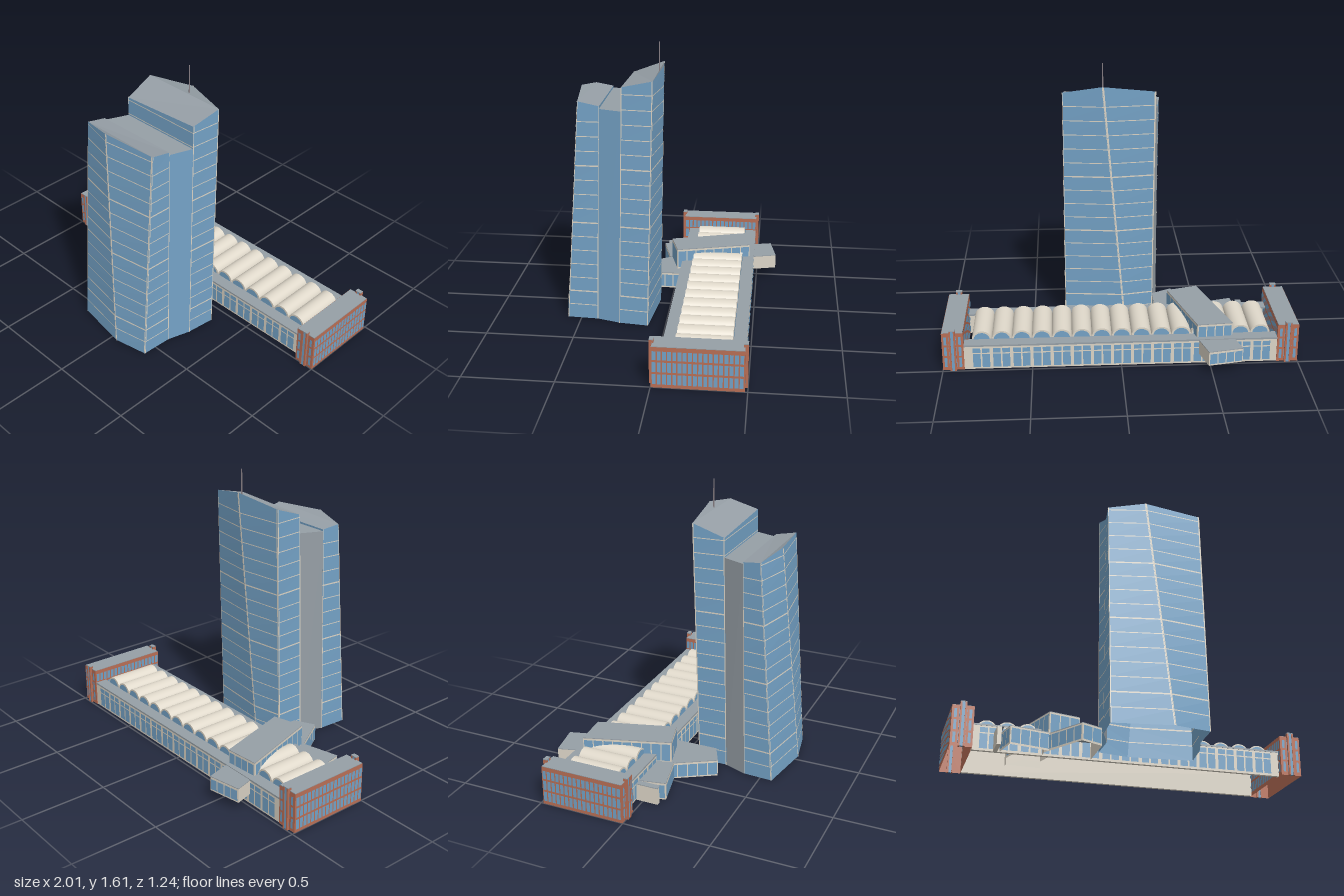
import * as THREE from 'three';

const mat = (name, color, side = THREE.FrontSide) => Object.assign(new THREE.MeshStandardMaterial({ color, side }), { name });

// Flat-shaded geometry from a list of polygons, each fanned from its first corner
function facets(list) {
  const pos = [];
  for (const f of list) {
    for (let i = 1; i < f.length - 1; i++) pos.push(...f[0], ...f[i], ...f[i + 1]);
  }
  const g = new THREE.BufferGeometry();
  g.setAttribute('position', new THREE.Float32BufferAttribute(pos, 3));
  g.computeVertexNormals();
  return g;
}

// Upright walls around an x,z outline, open above and below
const walls = (pts, y0, y1) => facets(pts.map(([x, z], i) => {
  const [u, w] = pts[(i + 1) % pts.length];
  return [[x, y0, z], [u, y0, w], [u, y1, w], [x, y1, z]];
}));

// Thin plate over an x,z outline
function plate(pts, y0, y1) {
  const shape = new THREE.Shape(pts.map(([x, z]) => new THREE.Vector2(x, -z)));
  const g = new THREE.ExtrudeGeometry(shape, { depth: y1 - y0, bevelEnabled: false });
  return g.rotateX(-Math.PI / 2).translate(0, y0, 0);
}

// Grid of panes standing just in front of the wall from p to q (left to right seen from outside)
function panes(list, p, q, rows, n, gap) {
  const dx = q[0] - p[0], dz = q[1] - p[1], len = Math.hypot(dx, dz);
  const at = (s, y) => [p[0] + (dx * s - dz * 0.003) / len, y, p[1] + (dz * s + dx * 0.003) / len];
  const step = (len - gap) / n;
  for (const [y0, y1] of rows) {
    for (let i = 0; i < n; i++) {
      const a = gap + i * step, b = a + step - gap;
      list.push([at(a, y0), at(b, y0), at(b, y1), at(a, y1)]);
    }
  }
}

export function createModel() {
  const root = new THREE.Group();
  root.name = 'towerAndHall';
  const glass = mat('blueGlass', 0x74a2c6, THREE.DoubleSide);
  const windowGlass = glass.clone();
  windowGlass.name = 'windowGlass';
  windowGlass.side = THREE.FrontSide;
  const cream = mat('creamFrame', 0xdcd5c7, THREE.DoubleSide);
  const vaultMat = mat('vaultConcrete', 0xdfd8ca, THREE.DoubleSide);
  const roofMat = mat('greyRoof', 0x969fa6, THREE.DoubleSide);
  const brick = mat('redBrick', 0xb96f56, THREE.DoubleSide);
  const steel = mat('steel', 0x8c8388);

  const add = (parent, name, geo, material) => {
    const m = new THREE.Mesh(geo, material);
    m.name = name;
    parent.add(m);
    return m;
  };
  const box = (parent, name, material, x0, x1, y0, y1, z0, z1) =>
    add(parent, name, new THREE.BoxGeometry(x1 - x0, y1 - y0, z1 - z0)
      .translate((x0 + x1) / 2, (y0 + y1) / 2, (z0 + z1) / 2), material);
  const group = (name) => {
    const g = new THREE.Group();
    g.name = name;
    root.add(g);
    return g;
  };

  // ---- Tower: leaning slabs, each corner is [base x, base z, top x, top z, top y]
  const tower = group('tower');
  const linkTop = 1.265;
  const front = [[-0.28, 0.57, -0.28, 0.475, 1.29], [0.04, 0.62, -0.08, 0.525, 1.32], [0.24, 0.58, 0.245, 0.49, 1.305],
    [0.25, 0.40, 0.245, 0.37, 1.28], [-0.27, 0.40, -0.265, 0.37, 1.275]];
  const rear = [[0.31, 0.10, 0.305, 0.065, 1.44], [-0.05, 0.065, 0.08, 0.03, 1.478], [-0.22, 0.10, -0.225, 0.06, 1.44],
    [-0.22, 0.27, -0.21, 0.24, 1.375], [0.29, 0.27, 0.29, 0.24, 1.40]];
  const onEdge = (c, y) => {
    const t = y / c[4];
    return [c[0] + (c[2] - c[0]) * t, y, c[1] + (c[3] - c[1]) * t];
  };

  // The wall numbered inner faces the link and only rises above it
  function slab(name, ring, inner) {
    const panels = [], lines = [];
    ring.forEach((a, i) => {
      const b = ring[(i + 1) % ring.length];
      const band = (list, y0, y1) => list.push([onEdge(a, y0), onEdge(b, y0), onEdge(b, y1 ?? b[4]), onEdge(a, y1 ?? a[4])]);
      // storeys of glass separated by thin floor lines
      let y = i === inner ? linkTop : 0;
      for (let k = Math.floor(y / 0.085) + 1; k * 0.085 < Math.min(a[4], b[4]) - 0.01; k++) {
        const h = [2, 7, 11].includes(k) ? 0.004 : 0.0025;
        band(panels, y, k * 0.085 - h);
        band(lines, k * 0.085 - h, k * 0.085 + h);
        y = k * 0.085 + h;
      }
      band(panels, y);
      if (i === inner) return;
      // corner trims
      const p0 = new THREE.Vector3(...onEdge(a, 0)), q0 = new THREE.Vector3(...onEdge(b, 0));
      const p1 = new THREE.Vector3(...onEdge(a, a[4])), q1 = new THREE.Vector3(...onEdge(b, b[4]));
      const out = new THREE.Vector3().subVectors(q0, p0).cross(new THREE.Vector3(0, 1, 0)).setLength(0.002);
      const u = 0.005 / p0.distanceTo(q0);
      const at = (p, q, s) => p.clone().lerp(q, s).add(out).toArray();
      for (const [s, t] of [[0, u], [1 - u, 1]]) {
        lines.push([at(p0, q0, s), at(p0, q0, t), at(p1, q1, t), at(p1, q1, s)]);
      }
    });
    add(tower, name + 'Glass', facets(panels), glass);
    add(tower, name + 'FloorLines', facets(lines), cream);
    add(tower, name + 'Roof', facets([ring.map((c) => onEdge(c, c[4]))]), roofMat);
  }
  slab('frontSlab', front, 3);
  slab('rearSlab', rear, 3);

  // Recessed link between the slabs
  const link = [front[4], front[3], rear[4], rear[3]].map((c) => [...c.slice(0, 4), linkTop]);
  const linkWall = (i, j) => facets([[onEdge(link[i], 0), onEdge(link[j], 0), onEdge(link[j], linkTop), onEdge(link[i], linkTop)]]);
  add(tower, 'linkGlass', linkWall(1, 2), glass);
  add(tower, 'linkWall', linkWall(3, 0), roofMat);
  add(tower, 'linkRoof', facets([link.map((c) => onEdge(c, linkTop))]), roofMat);
  add(tower, 'antenna', new THREE.CylinderGeometry(0.003, 0.004, 0.17, 8).translate(0.077, 1.525, 0.055), steel);

  // ---- Long hall with glazed walls and a row of vaults, open underneath
  const hall = group('hall');
  const count = 15, x0 = -0.85, pitch = 1.69 / count, spring = 0.145;
  box(hall, 'frontWall', cream, -0.88, 0.88, 0, 0.14, -0.06, -0.04);
  box(hall, 'backWall', cream, -0.88, 0.88, 0, 0.14, -0.48, -0.46);
  box(hall, 'frontRoofStrip', roofMat, -0.88, 0.88, 0.14, 0.15, -0.11, -0.038);
  box(hall, 'backRoofStrip', roofMat, -0.88, 0.88, 0.14, 0.15, -0.482, -0.41);
  const hallPanes = [];
  const hallRows = [[0.012, 0.095], [0.102, 0.13]];
  for (let i = 0; i < count; i++) {
    const a = x0 + i * pitch, b = a + pitch, c = (a + b) / 2;
    panes(hallPanes, [a, -0.04], [b, -0.04], hallRows, 2, 0.009);
    panes(hallPanes, [b, -0.48], [a, -0.48], hallRows, 2, 0.009);
    const vault = add(hall, 'vault', new THREE.CylinderGeometry(pitch / 2, pitch / 2, 0.3, 14, 1, true, Math.PI / 2, Math.PI)
      .rotateX(Math.PI / 2), vaultMat);
    vault.position.set(c, spring, -0.26);
    vault.scale.y = 0.92;
    for (const [z, turn, dir] of [[-0.11, 0, 1], [-0.41, Math.PI, -1]]) {
      const rim = add(hall, 'archRim', new THREE.CircleGeometry(pitch / 2, 14, 0, Math.PI).rotateY(turn), cream);
      rim.position.set(c, spring, z);
      const pane = add(hall, 'archWindow', new THREE.CircleGeometry(0.045, 14, 0, Math.PI).rotateY(turn), windowGlass);
      pane.position.set(c, spring + 0.002, z + dir * 0.003);
      rim.scale.y = pane.scale.y = 0.92;
    }
  }
  add(hall, 'hallWindows', facets(hallPanes), windowGlass);

  // ---- Brick blocks at both ends
  for (const s of [-1, 1]) {
    const block = group(s > 0 ? 'leftBrickBlock' : 'rightBrickBlock');
    const c = s * 0.94, a = c - 0.06, b = c + 0.06;
    const ring = [[a, -0.002], [b, -0.002], [b, -0.485], [a, -0.485]];
    add(block, 'brickWalls', walls(ring, 0, 0.23), brick);
    box(block, 'blockRoof', roofMat, a + 0.002, b - 0.002, 0.226, 0.232, -0.483, -0.004);
    const list = [], rows = [[0.02, 0.078], [0.09, 0.146], [0.158, 0.208]];
    ring.forEach((p, i) => panes(list, p, ring[(i + 1) % 4], rows, i % 2 ? 18 : 4, i % 2 ? 0.007 : 0.012));
    // twin piers with a glazed slot between them
    for (const z of [0, -0.487]) {
      for (const t of [-1, 1]) {
        box(block, 'pier', brick, c + t * 0.013 - 0.005, c + t * 0.013 + 0.005, 0, 0.246, z - 0.012, z + 0.012);
      }
      box(block, 'pierSlot', windowGlass, c - 0.008, c + 0.008, 0, 0.246, z - 0.009, z + 0.009);
      box(block, 'pierCap', roofMat, c - 0.018, c + 0.018, 0.246, 0.251, z - 0.012, z + 0.012);
    }
    add(block, 'blockWindows', facets(list), windowGlass);
  }

  // ---- Angled wings crossing the hall, open underneath
  const wings = group('angledWings');
  function wing(name, pts, y0, y1, glazed) {
    add(wings, name + 'Walls', walls(pts, y0, y1 - 0.004), cream);
    add(wings, name + 'Roof', plate(pts, y1 - 0.004, y1), roofMat);
    const list = [];
    for (const i of glazed) {
      const p = pts[i], q = pts[(i + 1) % pts.length];
      const n = Math.max(1, Math.round(Math.hypot(q[0] - p[0], q[1] - p[1]) / 0.055));
      panes(list, p, q, [[y0 + 0.01, y1 - 0.014]], n, 0.006);
    }
    add(wings, name + 'Windows', facets(list), windowGlass);
  }
  wing('upperWing', [[-0.63, -0.44], [-0.48, 0.04], [-0.30, -0.01], [-0.43, -0.455]], 0.10, 0.228, [0, 1, 2, 3]);
  wing('rearOverhang', [[-0.67, -0.585], [-0.63, -0.44], [-0.43, -0.455], [-0.475, -0.62]], 0.06, 0.146, [3]);
  wing('frontWing', [[-0.50, 0.02], [-0.35, 0.27], [-0.23, 0.21], [-0.23, -0.04], [-0.50, -0.04]], 0, 0.10, [0, 1, 2]);
  wing('sideWing', [[-0.73, -0.04], [-0.70, 0.11], [-0.48, 0.055], [-0.46, -0.04]], 0, 0.104, [0, 1]);
  box(wings, 'entranceFin', cream, -0.765, -0.742, 0, 0.098, -0.04, 0.09);
  box(wings, 'entranceFinCap', roofMat, -0.765, -0.73, 0.098, 0.102, -0.04, 0.09);

  return root;
}
